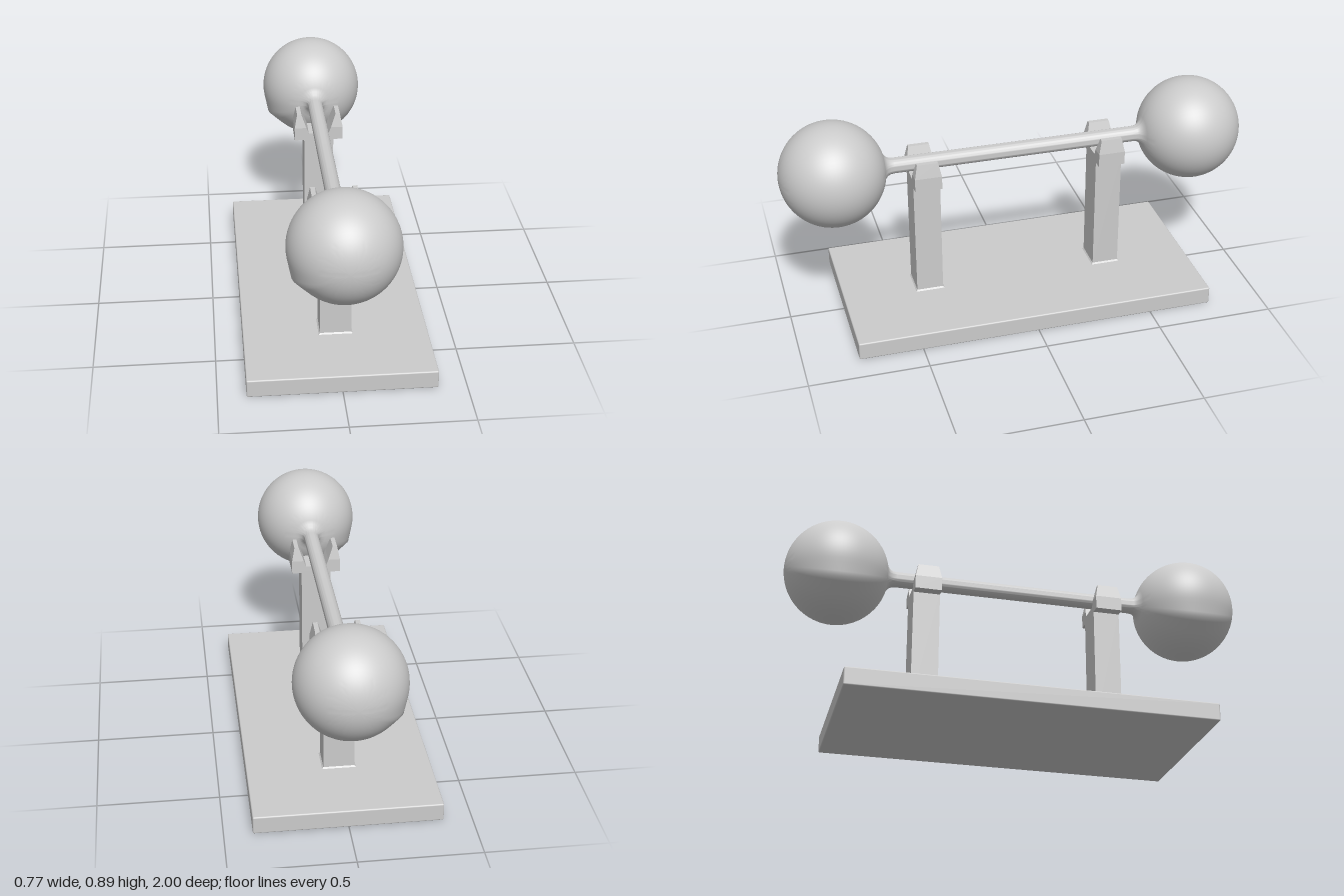
import * as THREE from 'three';
import { RoundedBoxGeometry } from 'three/addons/geometries/RoundedBoxGeometry.js';
import { toCreasedNormals } from 'three/addons/utils/BufferGeometryUtils.js';

const material = new THREE.MeshStandardMaterial({ color: 0xcccccc });
const BAR_Y = 0.673, BALL_R = 0.222, BALL_Z = 0.778, BAR_R = 0.033;
const POST_Z = 0.398, POST_HALF = 0.057;

function addPart(parent, name, geometry, x = 0, y = 0, z = 0) {
  const mesh = new THREE.Mesh(geometry, material);
  mesh.name = name;
  mesh.position.set(x, y, z);
  parent.add(mesh);
}

// Front outline extruded along z, narrowed towards the top above y = 0.65
function taperedExtrude(outline) {
  const shape = new THREE.Shape(outline.map(([x, y]) => new THREE.Vector2(x, y)));
  const geometry = new THREE.ExtrudeGeometry(shape, { depth: POST_HALF * 2, bevelEnabled: false });
  geometry.translate(0, 0, -POST_HALF);
  const p = geometry.attributes.position;
  for (let i = 0; i < p.count; i++) {
    const t = THREE.MathUtils.clamp((p.getY(i) - 0.65) / 0.06, 0, 1);
    p.setZ(i, p.getZ(i) * (1 - 0.22 * t));
  }
  geometry.computeVertexNormals();
  return geometry;
}

// Bar, filleted necks and both balls turned as one profile
function barbellGeometry() {
  const half = [[BAR_R, 0.52], [0.035, 0.539], [0.042, 0.552]];
  const start = Math.asin(0.055 / BALL_R);
  for (let i = 0; i <= 36; i++) {
    const a = start + (Math.PI - start) * i / 36;
    half.push([i === 36 ? 0 : BALL_R * Math.sin(a), BALL_Z - BALL_R * Math.cos(a)]);
  }
  const mirrored = half.map(([r, z]) => [r, -z]).reverse();
  const profile = [...mirrored, ...half].map(([r, z]) => new THREE.Vector2(r, z));
  const geometry = new THREE.LatheGeometry(profile, 72);
  geometry.rotateX(Math.PI / 2);

  // A soft ridge runs along the lower right side of each ball
  const p = geometry.attributes.position;
  const ridge = -Math.PI * 5 / 6, spread = 0.33;
  for (let i = 0; i < p.count; i++) {
    const x = p.getX(i), y = p.getY(i);
    const offset = Math.abs(Math.atan2(y, x) - ridge);
    if (offset >= spread) continue;
    const weight = (x * x + y * y) / (BALL_R * BALL_R);
    const k = 1 + weight * (1 / Math.cos(spread - offset) - 1);
    p.setXY(i, x * k, y * k);
  }
  return toCreasedNormals(geometry, 0.85);
}

export function createModel() {
  const model = new THREE.Group();
  model.name = 'barbellOnStand';

  addPart(model, 'base', new RoundedBoxGeometry(0.768, 0.077, 1.54, 2, 0.006), 0, 0.0385, 0);
  addPart(model, 'barbell', barbellGeometry(), 0, BAR_Y, 0);

  // Two uprights, each with a notched cradle
  const yoke = [
    [-0.107, 0.592], [0.107, 0.592], [0.107, 0.65], [0.055, 0.65],
    [0.044, 0.622], [-0.044, 0.622], [-0.055, 0.65], [-0.107, 0.65],
  ];
  const prong = [[0.055, 0.65], [0.107, 0.65], [0.095, 0.71], [0.076, 0.71]];
  const mirroredProng = prong.map(([x, y]) => [-x, y]).reverse();

  for (const side of [1, -1]) {
    const support = new THREE.Group();
    support.name = side > 0 ? 'frontSupport' : 'backSupport';
    support.position.z = side * POST_Z;
    addPart(support, 'post', new THREE.BoxGeometry(0.13, 0.53, POST_HALF * 2), 0, 0.335, 0);

    // Small flared foot where the post meets the base
    const foot = new THREE.CylinderGeometry(Math.SQRT1_2, 0.77, 0.006, 4, 1, true, Math.PI / 4).toNonIndexed();
    foot.scale(0.13, 1, POST_HALF * 2);
    foot.computeVertexNormals();
    addPart(support, 'postFoot', foot, 0, 0.08, 0);

    addPart(support, 'cradle', taperedExtrude(yoke));
    addPart(support, 'leftProng', taperedExtrude(prong));
    addPart(support, 'rightProng', taperedExtrude(mirroredProng));
    model.add(support);
  }
  return model;
}
